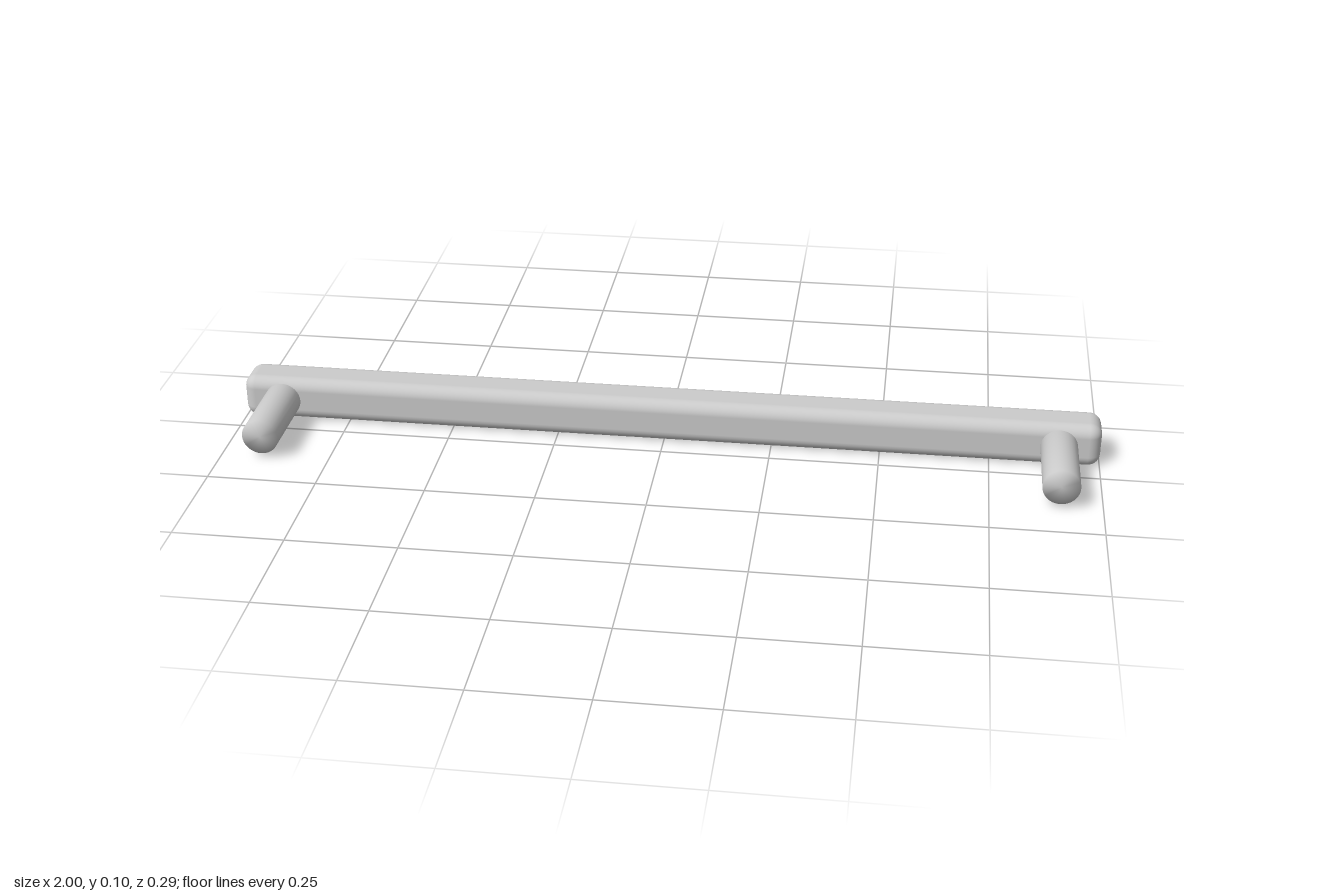
import * as THREE from 'three';
import { RoundedBoxGeometry } from 'three/addons/geometries/RoundedBoxGeometry.js';
import { mergeVertices } from 'three/addons/utils/BufferGeometryUtils.js';

const BAR = 0.103;          // bar thickness
const DEPTH = 0.292;        // overall depth
const POST_RADIUS = 0.042;
const POST_X = 0.905;

// Shares vertices so shading flows softly over the rim
function softened(geometry) {
  geometry.deleteAttribute('normal');
  geometry.deleteAttribute('uv');
  const merged = mergeVertices(geometry, 1e-4);
  merged.computeVertexNormals();
  return merged;
}

export function createModel() {
  const model = new THREE.Group();
  model.name = 'barHandle';
  const material = new THREE.MeshStandardMaterial({ color: 0xcccccc });

  // Long grip bar with rounded edges
  const bar = new THREE.Mesh(new RoundedBoxGeometry(2, BAR, BAR, 4, 0.028), material);
  bar.name = 'gripBar';
  bar.position.set(0, BAR / 2, -DEPTH / 2 + BAR / 2);
  model.add(bar);

  // Two round mounting posts standing off the bar
  const length = DEPTH - BAR;
  const postGeometry = softened(new THREE.CylinderGeometry(POST_RADIUS, POST_RADIUS, length, 32));
  postGeometry.rotateX(Math.PI / 2);
  for (const side of [1, -1]) {
    const post = new THREE.Mesh(postGeometry, material);
    post.name = side > 0 ? 'leftPost' : 'rightPost';
    post.position.set(side * POST_X, BAR / 2 + 0.001, DEPTH / 2 - length / 2);
    model.add(post);
  }
  return model;
}
